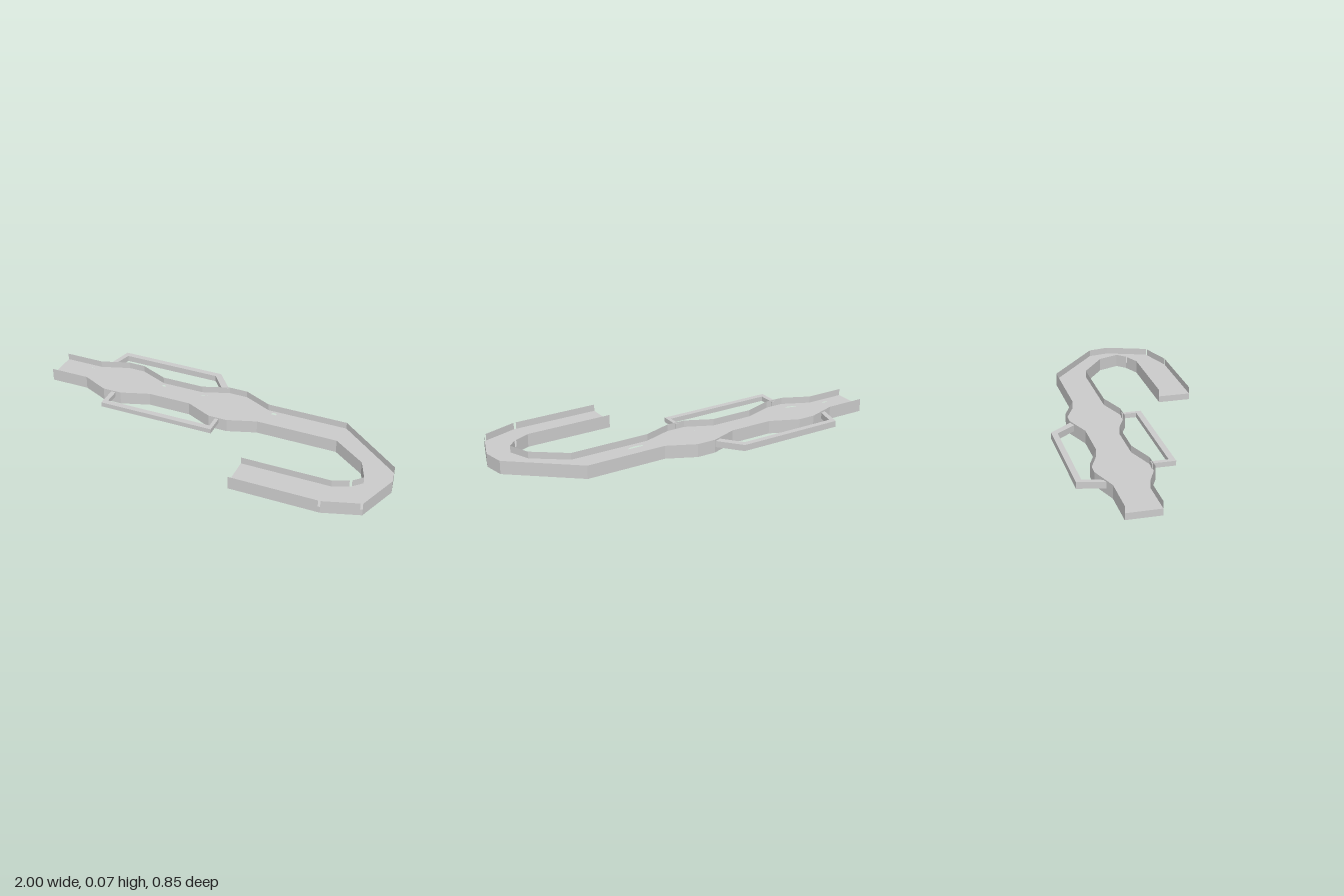
import * as THREE from 'three';

const FLOOR = 0.034, TOP = 0.07, PIT = 0.012;

// Plan outlines as [x, z], running from the straight end round the bend
const outer = [[-1, -0.275], [-0.79, -0.275], [-0.64, -0.325], [-0.55, -0.325], [-0.4, -0.26],
  [-0.17, -0.26], [-0.03, -0.31], [0.07, -0.31], [0.22, -0.24], [0.65, -0.24], [0.98, 0.03],
  [1, 0.14], [0.92, 0.36], [0.73, 0.42], [0.26, 0.42]];
const inner = [[-1, -0.1], [-0.79, -0.1], [-0.65, -0.035], [-0.55, -0.035], [-0.4, -0.085],
  [-0.17, -0.085], [-0.03, -0.02], [0.07, -0.02], [0.22, -0.07], [0.65, -0.07], [0.82, 0.055],
  [0.865, 0.165], [0.82, 0.21], [0.73, 0.25], [0.26, 0.25]];

// Floor pits: x, z, radius in x, radius in z
const pits = [[-0.83, -0.24, 0.012, 0.007], [-0.865, -0.145, 0.015, 0.013],
  [-0.745, -0.213, 0.006, 0.006], [-0.635, -0.232, 0.015, 0.025], [-0.525, -0.255, 0.032, 0.013],
  [-0.39, -0.22, 0.015, 0.025], [-0.65, -0.112, 0.043, 0.028], [-0.46, -0.135, 0.02, 0.01],
  [-0.265, -0.15, 0.02, 0.01], [-0.135, -0.225, 0.03, 0.014], [-0.04, -0.11, 0.045, 0.026],
  [0.16, -0.225, 0.006, 0.006], [0.125, -0.113, 0.017, 0.022], [0.26, -0.215, 0.014, 0.01],
  [0.31, -0.11, 0.043, 0.013]];

const material = new THREE.MeshStandardMaterial({ color: 0xcccccc, flatShading: true });
const sheet = new THREE.MeshStandardMaterial({ color: 0xcccccc, flatShading: true, side: THREE.DoubleSide });

const planShape = pts => new THREE.Shape(pts.map(([x, z]) => new THREE.Vector2(x, -z)));

// Raise a plan shape from height y0 to y1
function slab(name, shape, y0, y1) {
  const geo = new THREE.ExtrudeGeometry(shape, { depth: y1 - y0, bevelEnabled: false, curveSegments: 10 });
  geo.rotateX(-Math.PI / 2).translate(0, y0, 0);
  const mesh = new THREE.Mesh(geo, material);
  mesh.name = name;
  return mesh;
}

// Thin upright wall along a line, with a narrow slit after each listed corner
function wall(name, pts, slits) {
  const pos = [];
  for (let i = 0; i < pts.length - 1; i++) {
    const a = new THREE.Vector2(...pts[i]), b = new THREE.Vector2(...pts[i + 1]);
    if (slits.includes(i)) a.lerp(b, 0.012 / a.distanceTo(b));
    pos.push(a.x, FLOOR, a.y, b.x, FLOOR, b.y, b.x, TOP, b.y,
      a.x, FLOOR, a.y, b.x, TOP, b.y, a.x, TOP, a.y);
  }
  const geo = new THREE.BufferGeometry();
  geo.setAttribute('position', new THREE.Float32BufferAttribute(pos, 3));
  geo.computeVertexNormals();
  const mesh = new THREE.Mesh(geo, sheet);
  mesh.name = name;
  return mesh;
}

export function createModel() {
  const model = new THREE.Group();
  model.name = 'track';

  // Solid base, then a floor layer pierced by the pits
  const plan = [...outer, ...[...inner].reverse()];
  model.add(slab('base', planShape(plan), 0, PIT));
  const floor = planShape(plan);
  for (const [x, z, rx, rz] of pits) {
    floor.holes.push(new THREE.Path().absellipse(x, -z, rx, rz, 0, Math.PI * 2, true));
  }
  model.add(slab('floor', floor, PIT, FLOOR));

  // Side walls, open at both ends of the track
  model.add(wall('outerWall', outer, [12, 13]));
  model.add(wall('innerWall', inner, [12]));

  // Side loops bridging the waists of the track
  model.add(slab('frontLoop', planShape([[-0.605, -0.04], [-0.605, 0.08], [0.025, 0.08], [0.025, -0.025],
    [0.005, -0.025], [0.005, 0.05], [-0.58, 0.05], [-0.58, -0.04]]), 0.038, 0.063));
  model.add(slab('backLoop', planShape([[-0.74, -0.292], [-0.705, -0.427], [-0.13, -0.427], [-0.033, -0.308],
    [-0.07, -0.296], [-0.15, -0.397], [-0.685, -0.397], [-0.712, -0.301]]), 0.029, 0.062));

  return model;
}
